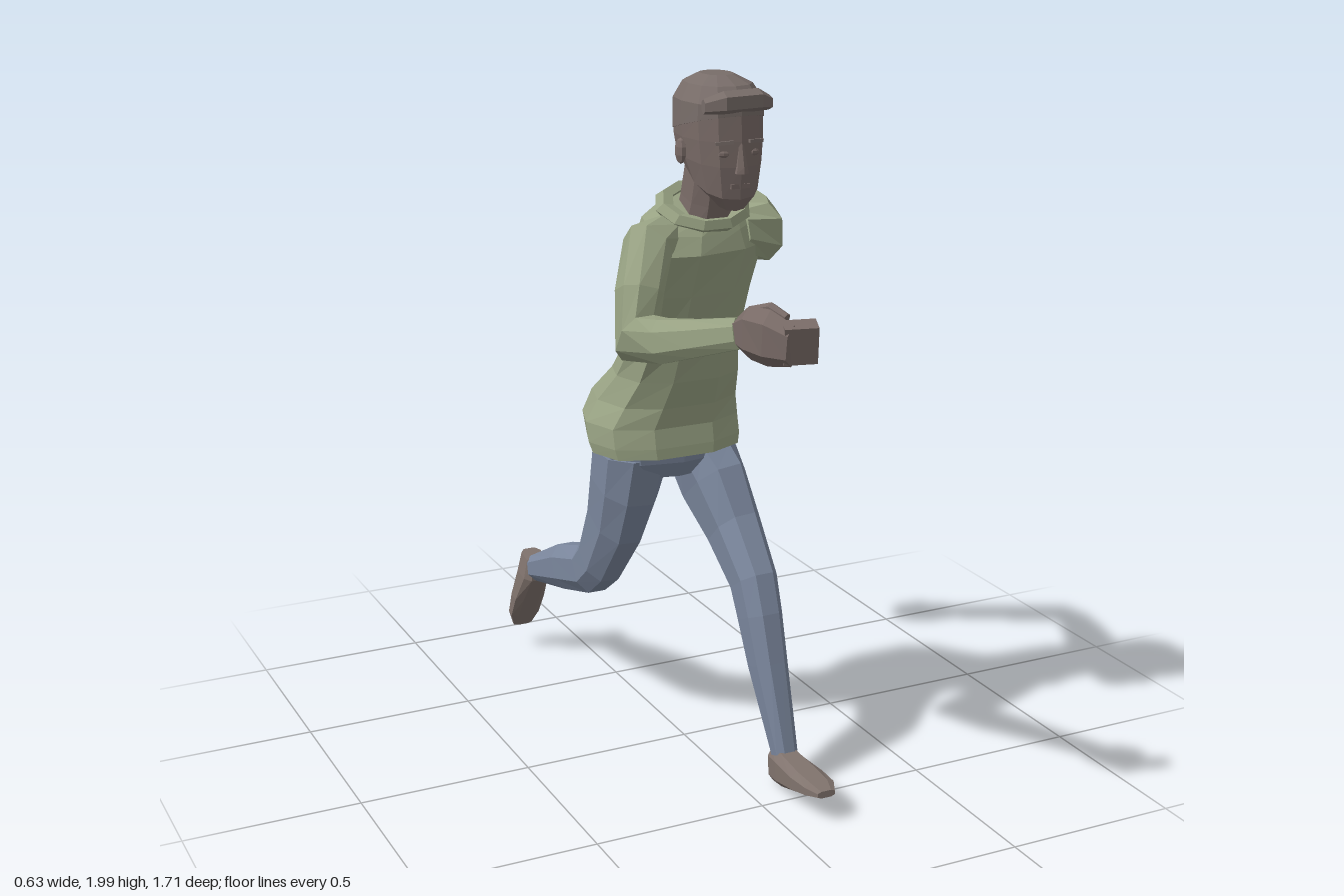
import * as THREE from 'three';

const mat = (name, color) => {
  const m = new THREE.MeshStandardMaterial({ color });
  m.name = name;
  return m;
};
const V = (x, y, z) => new THREE.Vector3(x, y, z);
const UP = [0, 1, 0];

// Ring: [x, y, z, half width, half depth, normal (default: along the path), yaw]
function loft(rings, sides = 8, power = 0.85, phase = 0.5) {
  const centres = rings.map(r => V(r[0], r[1], r[2]));
  const last = rings.length - 1;
  const step = i => centres[i + 1].clone().sub(centres[i]).normalize();
  const loops = rings.map((r, i) => {
    const n = r[5] ? V(...r[5]) : V(0, 0, 0);
    if (!r[5]) {
      if (i > 0) n.add(step(i - 1));
      if (i < last) n.add(step(i));
    }
    n.normalize();
    const yaw = r[6] || 0;
    const u = V(Math.cos(yaw), 0, -Math.sin(yaw));
    u.addScaledVector(n, -u.dot(n)).normalize();
    const v = n.clone().cross(u);
    const bend = t => Math.sign(t) * Math.abs(t) ** power;
    return Array.from({ length: sides }, (_, k) => {
      const a = (k + phase) / sides * Math.PI * 2;
      return centres[i].clone()
        .addScaledVector(u, bend(Math.cos(a)) * r[3])
        .addScaledVector(v, bend(Math.sin(a)) * r[4]);
    });
  });
  const pos = [];
  const tri = (...pts) => pts.forEach(p => pos.push(p.x, p.y, p.z));
  for (let k = 0; k < sides; k++) {
    const m = (k + 1) % sides;
    for (let i = 0; i < last; i++) {
      tri(loops[i][k], loops[i][m], loops[i + 1][m]);
      tri(loops[i][k], loops[i + 1][m], loops[i + 1][k]);
    }
    tri(centres[0], loops[0][m], loops[0][k]);
    tri(centres[last], loops[last][k], loops[last][m]);
  }
  const g = new THREE.BufferGeometry();
  g.setAttribute('position', new THREE.Float32BufferAttribute(pos, 3));
  g.computeVertexNormals();
  return g;
}

// Facets a built-in geometry
function faceted(geo) {
  const g = geo.index ? geo.toNonIndexed() : geo;
  g.computeVertexNormals();
  return g;
}

export function createModel() {
  const model = new THREE.Group();
  model.name = 'runningMan';
  const shirt = mat('sage shirt', 0x98a283);
  const denim = mat('blue trousers', 0x7b879d);
  const skin = mat('skin', 0x796b67);
  const hair = mat('hair', 0x786d69);
  const leather = mat('shoe leather', 0x80736d);

  const add = (name, geo, material, at = [0, 0, 0], rot = [0, 0, 0], scale = [1, 1, 1]) => {
    const m = new THREE.Mesh(geo, material);
    m.name = name;
    m.position.set(...at);
    m.rotation.set(...rot);
    m.scale.set(...scale);
    model.add(m);
    return m;
  };

  // Shirt body, leaning forward with a flared hem and turned shoulders
  add('shirtBody', loft([
    [-0.042, 0.915, -0.045, 0.222, 0.148, UP],
    [-0.042, 0.945, -0.055, 0.23, 0.155, UP],
    [-0.042, 1.0, -0.075, 0.23, 0.165, UP],
    [-0.03, 1.06, -0.075, 0.205, 0.175, UP],
    [-0.02, 1.14, -0.02, 0.18, 0.145, UP],
    [-0.025, 1.25, 0.043, 0.163, 0.108, UP, 0.08],
    [-0.02, 1.4, 0.08, 0.178, 0.112, UP, 0.15],
    [-0.012, 1.52, 0.105, 0.195, 0.122, UP, 0.2],
    [-0.008, 1.595, 0.105, 0.165, 0.108, [0, 1, 0.25], 0.2],
    [0, 1.645, 0.115, 0.095, 0.08, [0, 1, 0.45], 0.1],
  ], 10, 0.8, 0), shirt);

  // Folded collar
  add('collar', faceted(new THREE.TorusGeometry(0.09, 0.022, 5, 10)), shirt,
    [-0.005, 1.632, 0.125], [-Math.PI / 2 + 0.45, 0, 0], [1.25, 1, 1]);

  // Sleeves: the left is swung back, the right is bent forward
  add('leftSleeve', loft([
    [0.09, 1.55, 0.13, 0.06, 0.06],
    [0.175, 1.54, 0.1, 0.08, 0.085],
    [0.235, 1.545, -0.02, 0.058, 0.072],
    [0.272, 1.56, -0.17, 0.042, 0.056],
    [0.278, 1.535, -0.23, 0.038, 0.064],
    [0.25, 1.42, -0.305, 0.038, 0.06],
    [0.212, 1.24, -0.41, 0.026, 0.045],
  ]), shirt);
  add('rightSleeve', loft([
    [-0.11, 1.56, 0.13, 0.06, 0.06],
    [-0.185, 1.545, 0.16, 0.07, 0.08],
    [-0.24, 1.44, 0.225, 0.062, 0.072],
    [-0.262, 1.325, 0.26, 0.06, 0.088],
    [-0.235, 1.34, 0.37, 0.048, 0.062],
    [-0.2, 1.37, 0.48, 0.04, 0.052],
    [-0.157, 1.42, 0.65, 0.027, 0.042],
  ]), shirt);

  // Hands, each a palm with curled fingers and a thumb
  add('leftHand', loft([
    [0.215, 1.265, -0.4, 0.022, 0.035],
    [0.2, 1.21, -0.435, 0.03, 0.065],
    [0.185, 1.14, -0.475, 0.03, 0.075],
    [0.165, 1.1, -0.5, 0.025, 0.06],
  ], 6), skin);
  add('leftFingers', loft([
    [0.185, 1.12, -0.485, 0.025, 0.062, [-0.6, -0.7, -0.35]],
    [0.15, 1.1, -0.498, 0.024, 0.058, [-1, -0.3, -0.2]],
    [0.133, 1.12, -0.485, 0.018, 0.052, [-0.3, 1, 0.3]],
  ], 6), skin);
  add('leftThumb', loft([
    [0.195, 1.2, -0.4, 0.018, 0.02],
    [0.175, 1.15, -0.4, 0.019, 0.02],
    [0.16, 1.1, -0.43, 0.012, 0.014],
  ], 6), skin);
  add('rightHand', loft([
    [-0.157, 1.42, 0.635, 0.025, 0.036],
    [-0.152, 1.43, 0.69, 0.03, 0.068],
    [-0.13, 1.428, 0.75, 0.032, 0.074],
    [-0.1, 1.42, 0.815, 0.028, 0.055],
  ], 6), skin);
  add('rightFingers', faceted(new THREE.BoxGeometry(0.085, 0.1, 0.05)), skin,
    [-0.075, 1.425, 0.805], [0.25, -0.3, 0.1]);
  add('rightThumb', loft([
    [-0.14, 1.475, 0.68, 0.018, 0.02],
    [-0.115, 1.495, 0.73, 0.018, 0.018],
    [-0.095, 1.48, 0.775, 0.012, 0.012],
  ], 6), skin);

  // Trousers
  add('trouserSeat', loft([
    [-0.035, 0.84, -0.055, 0.14, 0.1, UP],
    [-0.035, 0.89, -0.055, 0.195, 0.13, UP],
    [-0.04, 0.95, -0.055, 0.205, 0.135, UP],
  ], 10), denim);
  add('leftTrouserLeg', loft([
    [0.075, 0.89, -0.06, 0.095, 0.125, [0, -1, 0.25]],
    [0.09, 0.79, 0.01, 0.085, 0.135],
    [0.105, 0.68, 0.11, 0.073, 0.1],
    [0.11, 0.56, 0.225, 0.062, 0.083],
    [0.11, 0.47, 0.265, 0.058, 0.077],
    [0.113, 0.34, 0.31, 0.052, 0.066],
    [0.12, 0.1, 0.405, 0.036, 0.036],
  ]), denim);
  add('rightTrouserLeg', loft([
    [-0.135, 0.9, -0.065, 0.105, 0.125, [0, -1, 0]],
    [-0.148, 0.79, -0.09, 0.092, 0.12],
    [-0.155, 0.67, -0.135, 0.078, 0.11],
    [-0.165, 0.52, -0.225, 0.066, 0.085],
    [-0.168, 0.465, -0.29, 0.062, 0.078],
    [-0.17, 0.41, -0.47, 0.056, 0.074],
    [-0.175, 0.317, -0.72, 0.038, 0.042],
  ]), denim);

  // Shoes
  add('leftShoe', loft([
    [0.118, 0.055, 0.372, 0.034, 0.052, [0, 0.1, 1]],
    [0.118, 0.066, 0.435, 0.046, 0.052, [0, 0.1, 1]],
    [0.118, 0.077, 0.54, 0.053, 0.032, [0, 0.1, 1]],
    [0.118, 0.085, 0.61, 0.048, 0.02, [0, 0.1, 1]],
    [0.115, 0.088, 0.655, 0.028, 0.01, [0, 0.1, 1]],
  ], 8, 0.65), leather);
  add('rightShoe', loft([
    [-0.178, 0.352, -0.74, 0.034, 0.045, [0, -1, -0.2]],
    [-0.18, 0.29, -0.745, 0.044, 0.052, [0, -1, -0.2]],
    [-0.183, 0.2, -0.787, 0.052, 0.034, [0, -1, -0.25]],
    [-0.184, 0.13, -0.822, 0.05, 0.023, [0, -1, -0.3]],
    [-0.184, 0.083, -0.842, 0.032, 0.012, [0, -1, -0.3]],
  ], 8, 0.65), leather);

  // Neck and face
  add('neck', loft([
    [0, 1.56, 0.115, 0.08, 0.08],
    [0, 1.66, 0.14, 0.067, 0.077],
    [0, 1.78, 0.165, 0.06, 0.075],
  ]), skin);
  add('face', loft([
    [0, 1.677, 0.265, 0.045, 0.055, [0, 1, 0.5]],
    [0, 1.722, 0.235, 0.084, 0.108, [0, 1, 0.35]],
    [0, 1.785, 0.212, 0.1, 0.133, [0, 1, 0.1]],
    [0, 1.84, 0.206, 0.106, 0.138, UP],
    [0, 1.885, 0.205, 0.107, 0.138, [0, 1, -0.2]],
  ], 12, 0.85, 0), skin);

  // Hair cap with a swept front
  add('hairCap', loft([
    [0, 1.872, 0.205, 0.11, 0.141, [0, 1, -0.25]],
    [0, 1.935, 0.205, 0.108, 0.138, UP],
    [0, 1.978, 0.2, 0.084, 0.106, UP],
    [0, 2.0, 0.195, 0.042, 0.055, UP],
  ], 12, 0.85, 0), hair);
  add('hairFront', loft([
    [-0.095, 1.932, 0.31, 0.02, 0.02, [1, 0, 0.2]],
    [-0.05, 1.943, 0.335, 0.03, 0.03, [1, 0, 0.1]],
    [0.05, 1.945, 0.335, 0.03, 0.03, [1, 0, -0.1]],
    [0.095, 1.932, 0.31, 0.02, 0.02, [1, 0, -0.2]],
  ].map(r => [...r, Math.PI / 2]), 6), hair);

  // Features
  add('nose', loft([
    [0, 1.757, 0.338, 0.02, 0.022, UP],
    [0, 1.775, 0.338, 0.016, 0.02, UP],
    [0, 1.835, 0.335, 0.008, 0.01, UP],
  ], 6), skin);
  add('mouth', faceted(new THREE.BoxGeometry(0.055, 0.012, 0.014)), skin, [0, 1.722, 0.332]);
  for (const s of [-1, 1]) {
    const side = s > 0 ? 'left' : 'right';
    add(side + 'Eye', faceted(new THREE.SphereGeometry(0.017, 8, 5)), skin,
      [s * 0.045, 1.808, 0.328], [0, s * 0.3, 0], [1, 0.6, 0.5]);
    add(side + 'Brow', faceted(new THREE.BoxGeometry(0.048, 0.009, 0.014)), hair,
      [s * 0.045, 1.838, 0.332], [0, s * 0.3, s * -0.08]);
    add(side + 'Ear', faceted(new THREE.SphereGeometry(0.035, 7, 5)), skin,
      [s * 0.11, 1.803, 0.207], [0, s * -0.2, 0], [0.35, 1, 0.6]);
  }
  return model;
}
